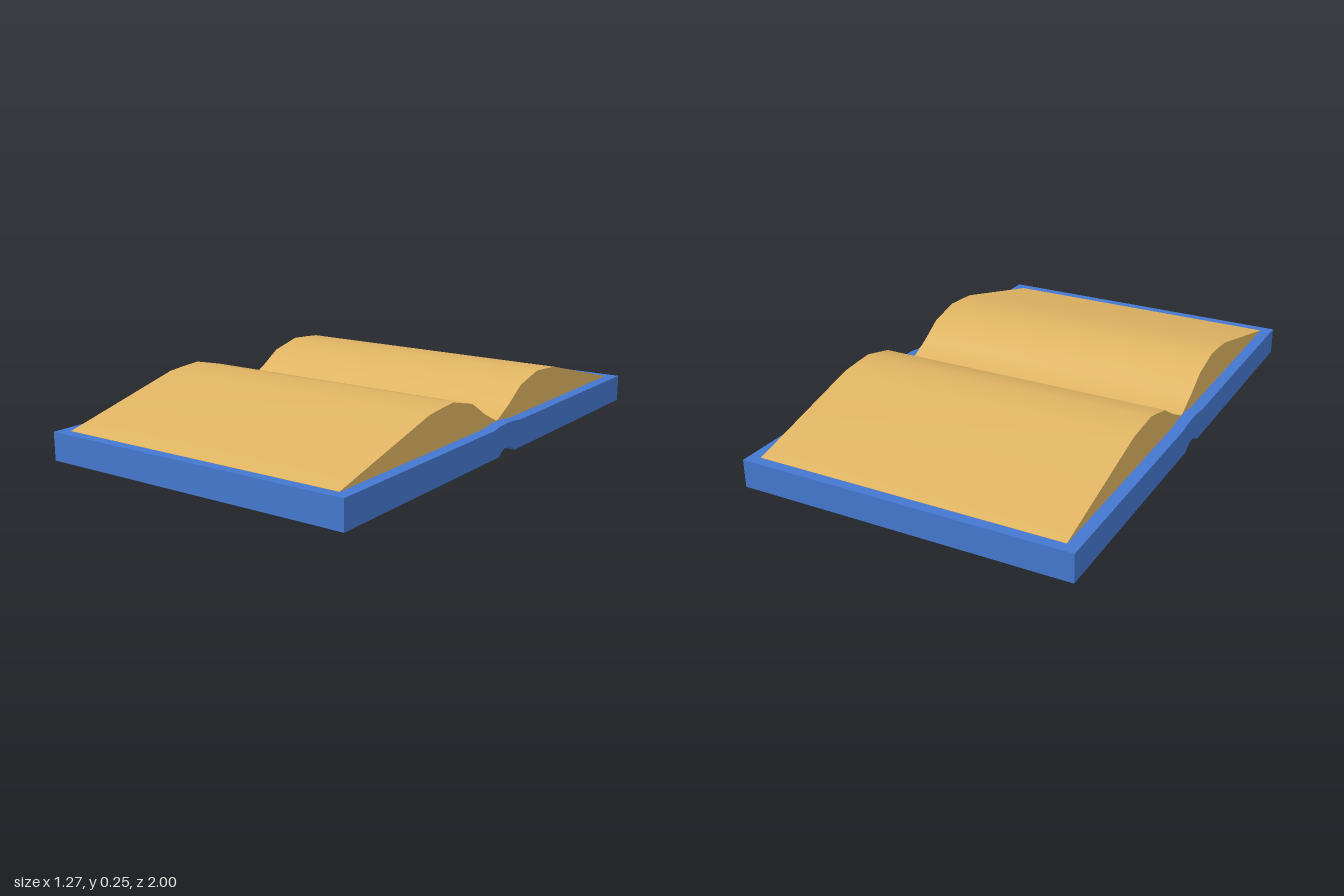
import * as THREE from 'three';
import { toCreasedNormals } from 'three/addons/utils/BufferGeometryUtils.js';

// Mirrors a half profile of [z, y] points, listed from the outer edge to the middle
function mirrored(half) {
  const other = half.filter(([z]) => z > 0).map(([z, y]) => [-z, y]).reverse();
  return [...half, ...other];
}

// Extrudes a closed [z, y] outline along x, centred on x = 0
function slab(name, outline, width, material) {
  const shape = new THREE.Shape(outline.map(([z, y]) => new THREE.Vector2(z, y)));
  let geometry = new THREE.ExtrudeGeometry(shape, { depth: width, bevelEnabled: false });
  geometry.translate(0, 0, -width / 2);
  geometry.rotateY(Math.PI / 2);
  geometry = toCreasedNormals(geometry, 0.6);
  const mesh = new THREE.Mesh(geometry, material);
  mesh.name = name;
  return mesh;
}

export function createModel() {
  const blue = new THREE.MeshStandardMaterial({ color: 0x4477cf });
  blue.name = 'cover blue';
  const tan = new THREE.MeshStandardMaterial({ color: 0xdfb362 });
  tan.name = 'page tan';

  const model = new THREE.Group();
  model.name = 'openBook';

  // Cover with a raised spine on top and a groove underneath
  const coverTop = mirrored([[1, 0.106], [0.1, 0.106], [0.05, 0.113], [0, 0.115]]);
  const coverBottom = mirrored([[1, 0], [0.058, 0], [0.042, 0.014], [0.02, 0.023], [0, 0.025]]).reverse();
  model.add(slab('cover', [...coverTop, ...coverBottom], 1.266, blue));

  // Two curved page blocks meeting in the gutter
  const pageTop = mirrored([
    [0.96, 0.107], [0.46, 0.235], [0.39, 0.241], [0.31, 0.246],
    [0.18, 0.215], [0.09, 0.159], [0.01, 0.119], [0, 0.117],
  ]);
  model.add(slab('pages', [...pageTop, [-0.96, 0.09], [0.96, 0.09]], 1.176, tan));

  return model;
}
